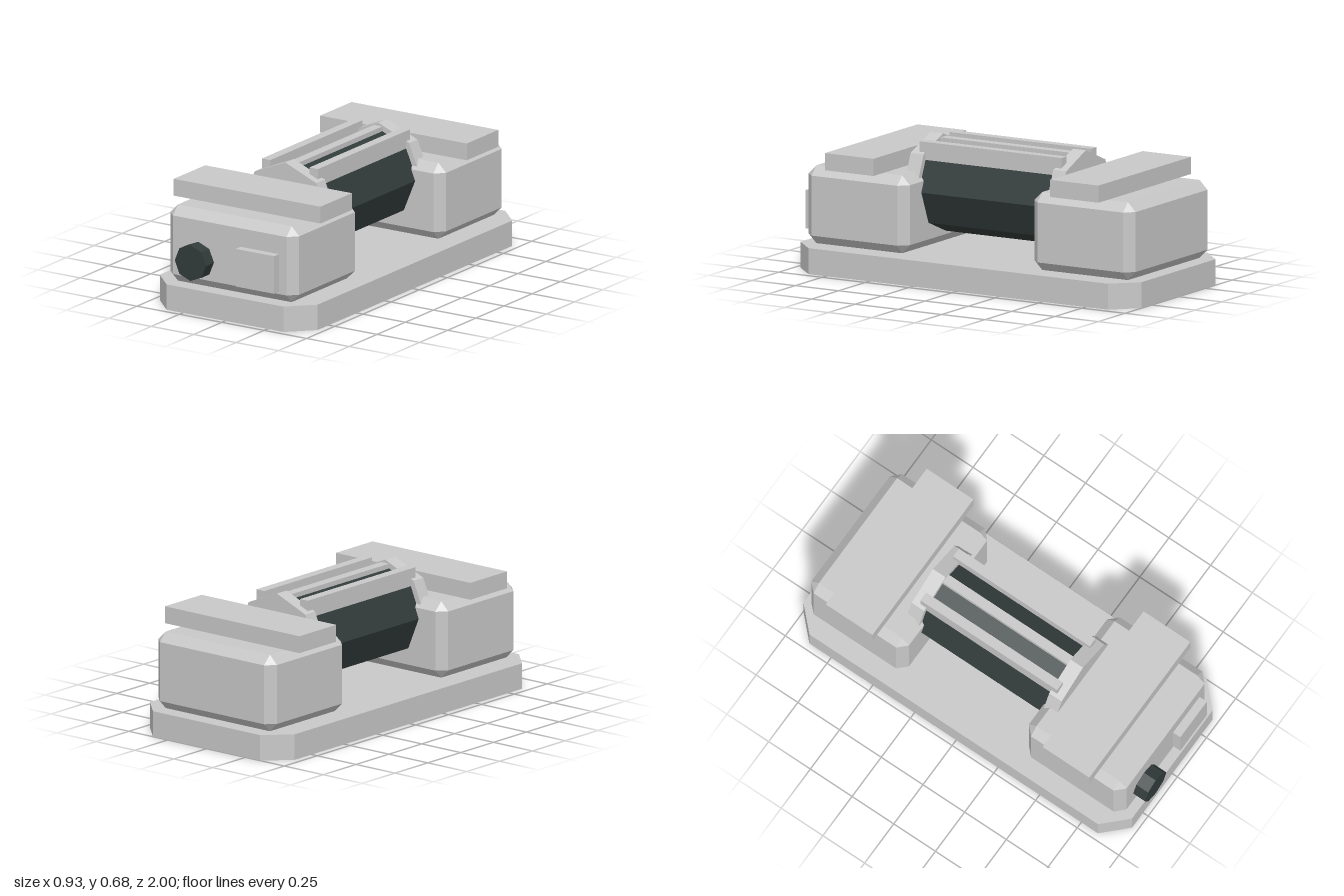
import * as THREE from 'three';
import { ConvexGeometry } from 'three/addons/geometries/ConvexGeometry.js';

export function createModel() {
  const model = new THREE.Group();
  model.name = 'rollerMachine';

  const lightGrey = new THREE.MeshStandardMaterial({ color: 0xc8c8c8 });
  lightGrey.name = 'light grey';
  const darkGrey = new THREE.MeshStandardMaterial({ color: 0x323c3b });
  darkGrey.name = 'dark grey';

  const add = (name, geometry, material, x, y, z) => {
    const mesh = new THREE.Mesh(geometry, material);
    mesh.name = name;
    mesh.position.set(x, y, z);
    model.add(mesh);
    return mesh;
  };
  const box = (name, w, h, d, x, y, z) =>
    add(name, new THREE.BoxGeometry(w, h, d), lightGrey, x, y, z);

  // Eight-sided prism along z with a corner at the top and crisp facets
  const octagon = (name, radius, length, material, x, y, z) => {
    const geometry = new THREE.CylinderGeometry(radius, radius, length, 8)
      .rotateX(Math.PI / 2).toNonIndexed();
    geometry.computeVertexNormals();
    return add(name, geometry, material, x, y, z);
  };

  // Box with every edge and corner bevelled
  const bevelledBox = (w, h, d, c) => {
    const points = [];
    for (const sx of [-1, 1]) for (const sy of [-1, 1]) for (const sz of [-1, 1]) {
      const x = w / 2, y = h / 2, z = d / 2;
      points.push(
        new THREE.Vector3(sx * x, sy * (y - c), sz * (z - c)),
        new THREE.Vector3(sx * (x - c), sy * y, sz * (z - c)),
        new THREE.Vector3(sx * (x - c), sy * (y - c), sz * z));
    }
    return new ConvexGeometry(points);
  };

  const midZ = -0.015; // the body is symmetric about this plane

  // Base plate with cut corners
  const bx = 0.465, bz = 0.985, cut = 0.12;
  const outline = new THREE.Shape([
    [bx, -bz + cut], [bx, bz - cut], [bx - cut, bz], [-bx + cut, bz],
    [-bx, bz - cut], [-bx, -bz + cut], [-bx + cut, -bz], [bx - cut, -bz],
  ].map(([x, y]) => new THREE.Vector2(x, y)));
  const plate = new THREE.ExtrudeGeometry(outline, { depth: 0.13, bevelEnabled: false });
  add('basePlate', plate.rotateX(-Math.PI / 2), lightGrey, 0, 0, midZ);

  // End housings, their top caps and the collars that hold the roller
  for (const [end, s] of [['front', 1], ['back', -1]]) {
    add(end + 'Housing', bevelledBox(0.76, 0.39, 0.585, 0.045), lightGrey, 0, 0.325, midZ + s * 0.652);
    box(end + 'Cap', 0.865, 0.086, 0.28, 0, 0.565, midZ + s * 0.65);
    octagon(end + 'Collar', 0.258, 0.075, lightGrey, 0, 0.42, midZ + s * 0.412);
  }

  // Roller and the three rails along its top
  octagon('roller', 0.228, 0.78, darkGrey, 0, 0.42, midZ);
  for (const [name, x] of [['rightRail', -0.14], ['centreRail', 0], ['leftRail', 0.14]]) {
    box(name, 0.05, 0.1, 0.82, x, 0.612, midZ);
  }

  // Front panel details
  octagon('knob', 0.092, 0.08, darkGrey, -0.185, 0.273, 0.96);
  box('frontPanel', 0.227, 0.193, 0.055, 0.178, 0.284, 0.9455);

  return model;
}
